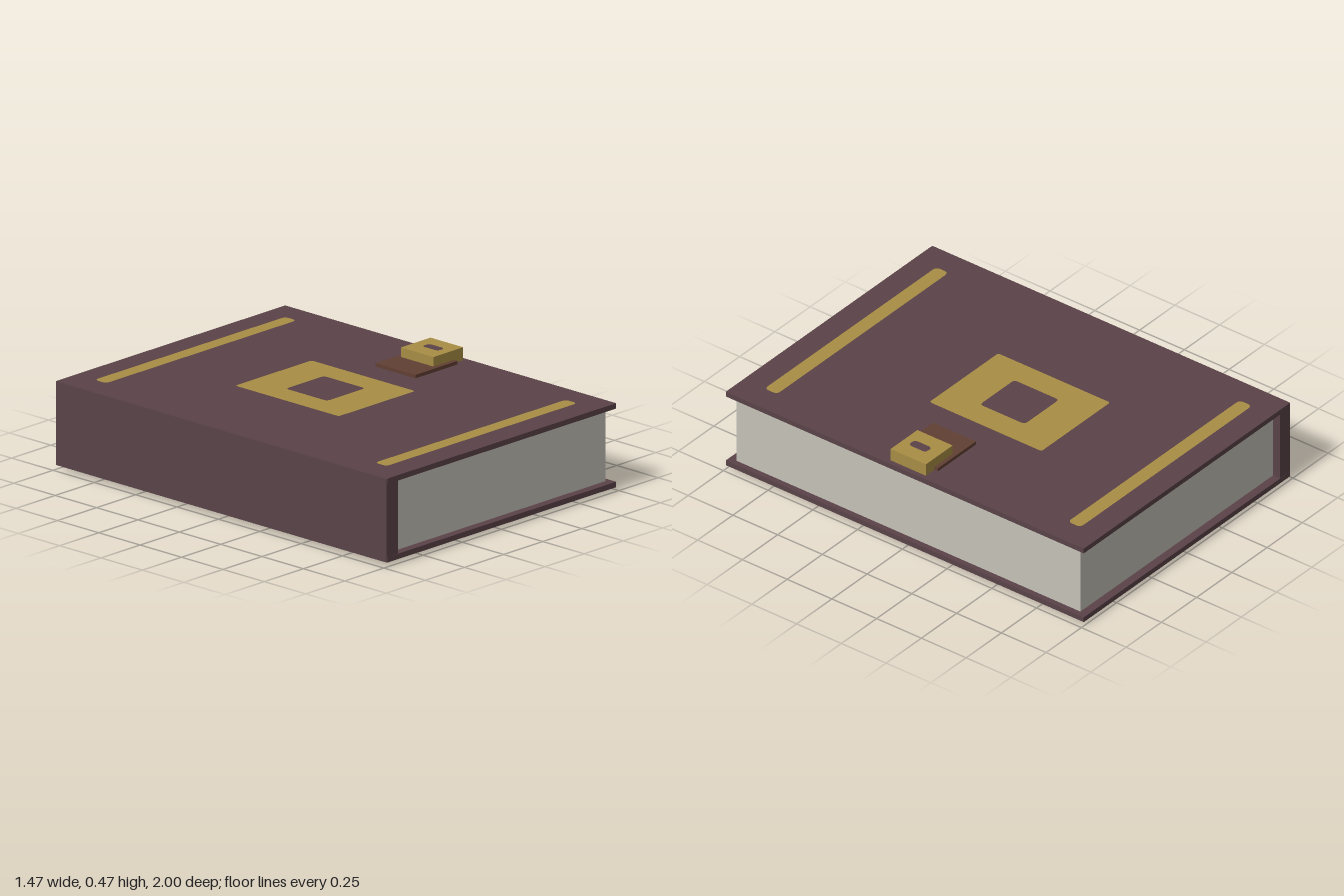
import * as THREE from 'three';

const mat = (name, color) => {
  const m = new THREE.MeshStandardMaterial({ color });
  m.name = name;
  return m;
};

// Rounded rectangle outline, usable as a Shape or as a hole
function roundRect(path, x0, x1, y0, y1, r) {
  path.moveTo(x0 + r, y0);
  path.lineTo(x1 - r, y0);
  path.quadraticCurveTo(x1, y0, x1, y0 + r);
  path.lineTo(x1, y1 - r);
  path.quadraticCurveTo(x1, y1, x1 - r, y1);
  path.lineTo(x0 + r, y1);
  path.quadraticCurveTo(x0, y1, x0, y1 - r);
  path.lineTo(x0, y0 + r);
  path.quadraticCurveTo(x0, y0, x0 + r, y0);
  return path;
}

export function createModel() {
  const cover = mat('plum cover', 0x5a4348);
  const gold = mat('gold', 0xa88d44);
  const paper = mat('paper', 0xc5c1b8);
  const leather = mat('brown leather', 0x613f33);

  const book = new THREE.Group();
  book.name = 'book';

  const box = (name, material, [x0, x1], [y0, y1], [z0, z1]) => {
    const m = new THREE.Mesh(new THREE.BoxGeometry(x1 - x0, y1 - y0, z1 - z0), material);
    m.position.set((x0 + x1) / 2, (y0 + y1) / 2, (z0 + z1) / 2);
    m.name = name;
    book.add(m);
  };

  // Flat shape lying on a surface, facing up (shape y = -z)
  const inlay = (name, material, shape, y, parent) => {
    const m = new THREE.Mesh(new THREE.ShapeGeometry(shape, 6), material);
    m.rotation.x = -Math.PI / 2;
    m.position.y = y;
    m.name = name;
    parent.add(m);
  };

  // Covers, spine and page block
  box('topBoard', cover, [-0.725, 0.733], [0.385, 0.41], [-1, 1]);
  box('bottomBoard', cover, [-0.725, 0.733], [0.022, 0.047], [-1, 1]);
  box('spine', cover, [-0.733, -0.66], [0.023, 0.409], [-0.999, 0.999]);
  box('pages', paper, [-0.68, 0.706], [0.04, 0.39], [-0.96, 0.96]);

  // Strap ends and clasp
  box('topStrap', leather, [0.38, 0.65], [0.405, 0.426], [-0.12, 0.12]);
  box('bottomStrap', leather, [0.38, 0.65], [0.002, 0.03], [-0.12, 0.12]);
  box('clasp', gold, [0.52, 0.71], [0.41, 0.47], [-0.1, 0.097]);
  const keyhole = roundRect(new THREE.Shape(), 0.592, 0.638, -0.055, 0.042, 0.02);
  inlay('keyhole', cover, keyhole, 0.472, book);

  // Gold ornaments, the same set on both boards
  for (const side of ['top', 'bottom']) {
    const ornaments = new THREE.Group();
    ornaments.name = side + 'Ornaments';
    const frame = roundRect(new THREE.Shape(), -0.242, 0.246, -0.246, 0.38, 0.015);
    frame.holes.push(roundRect(new THREE.Path(), -0.12, 0.124, -0.06, 0.19, 0.02));
    inlay('frame', gold, frame, 0, ornaments);
    for (const z of [-0.845, 0.85]) {
      const bar = roundRect(new THREE.Shape(), -0.607, 0.611, z - 0.035, z + 0.035, 0.025);
      inlay('bar', gold, bar, 0, ornaments);
    }
    ornaments.position.y = side === 'top' ? 0.412 : 0.02;
    if (side === 'bottom') ornaments.rotation.x = Math.PI;
    book.add(ornaments);
  }
  return book;
}
